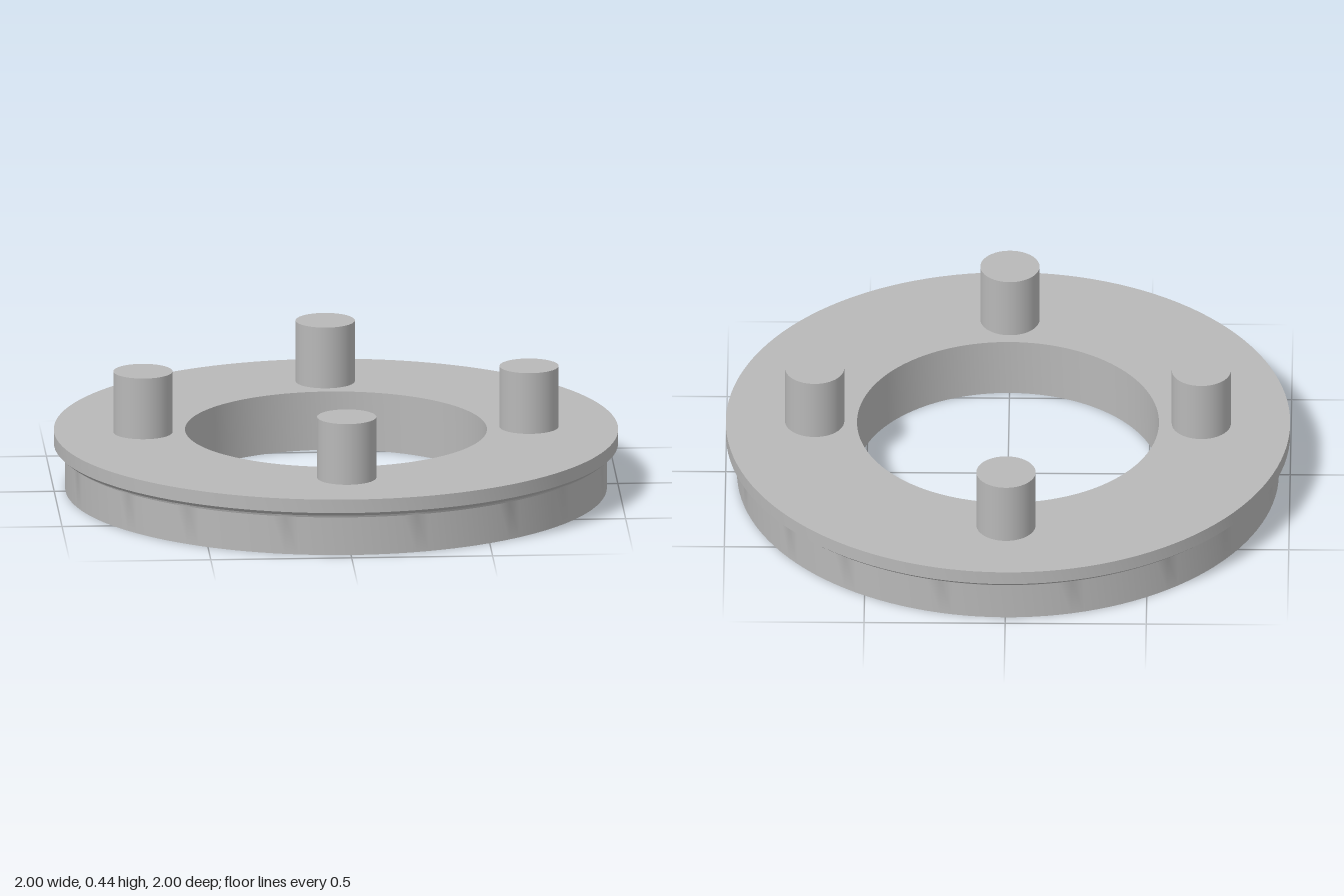
import * as THREE from 'three';
import { toCreasedNormals } from 'three/addons/utils/BufferGeometryUtils.js';

const OUTER = 0.96, BORE = 0.535, TOP = 0.213;
const POST_RING = 0.685, HOLE_RING = 0.75, HOLE_R = 0.046, HOLE_DEPTH = 0.045;

// Turned solid: the profile runs upward on outside walls, downward on inside walls
function turned(points, segments) {
  const profile = points.map(([r, y]) => new THREE.Vector2(r, y));
  return toCreasedNormals(new THREE.LatheGeometry(profile, segments), 0.4);
}

export function createModel() {
  const model = new THREE.Group();
  const steel = new THREE.MeshStandardMaterial({ color: 0xb8b8b8 });
  steel.name = 'grey steel';

  const add = (geometry, name, x = 0, y = 0, z = 0) => {
    const mesh = new THREE.Mesh(geometry, steel);
    mesh.name = name;
    mesh.position.set(x, y, z);
    model.add(mesh);
  };

  // Ring body: lower wall, stepped chamfer, flange rim, top face and bore
  add(turned([
    [OUTER, 0], [OUTER, 0.14], [0.969, 0.14], [0.973, 0.151], [0.985, 0.151],
    [1, 0.164], [1, TOP], [BORE, TOP], [BORE, 0],
  ], 128), 'flangedRing');

  // Underside, pierced by the bore and the four blind holes
  const underside = new THREE.Shape().absarc(0, 0, OUTER, 0, Math.PI * 2, false);
  underside.holes.push(new THREE.Path().absarc(0, 0, BORE, 0, Math.PI * 2, true));

  const postGeometry = new THREE.CylinderGeometry(0.105, 0.105, 0.222, 48);
  const holeGeometry = turned([[0, HOLE_DEPTH], [HOLE_R, HOLE_DEPTH], [HOLE_R, 0]], 32);

  for (let i = 0; i < 4; i++) {
    const c = Math.round(Math.cos(i * Math.PI / 2));
    const s = Math.round(Math.sin(i * Math.PI / 2));
    // Upright posts on the top face
    add(postGeometry, `post${i + 1}`, c * POST_RING, TOP + 0.111, s * POST_RING);
    // Blind holes below
    add(holeGeometry, `blindHole${i + 1}`, c * HOLE_RING, 0, s * HOLE_RING);
    underside.holes.push(
      new THREE.Path().absarc(c * HOLE_RING, s * HOLE_RING, HOLE_R, 0, Math.PI * 2, true));
  }

  add(new THREE.ShapeGeometry(underside, 64).rotateX(Math.PI / 2), 'underside');
  return model;
}
